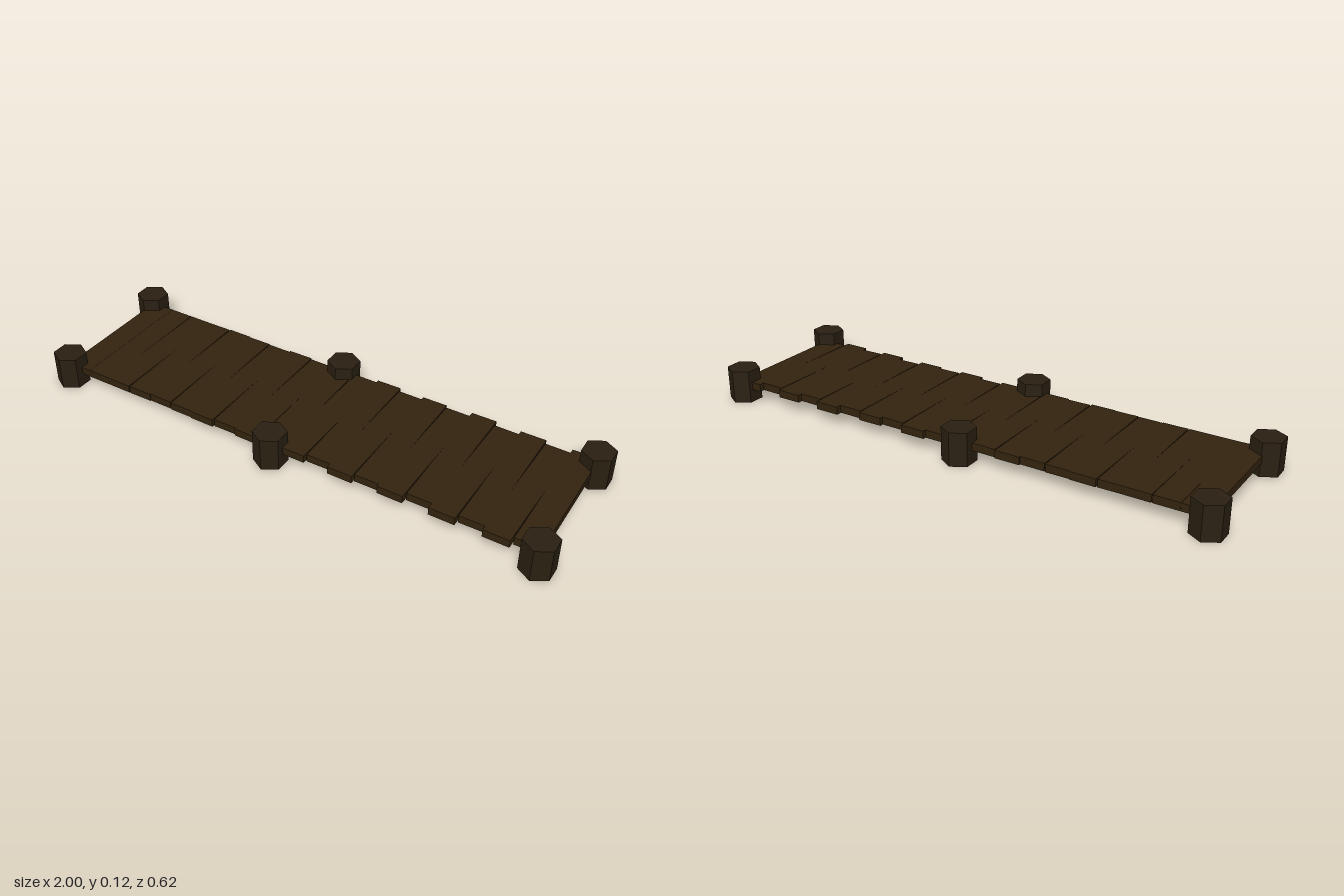
import * as THREE from 'three';

export function createModel() {
  const model = new THREE.Group();
  const plankWood = new THREE.MeshStandardMaterial({ color: 0x33230f, flatShading: true });
  const postWood = new THREE.MeshStandardMaterial({ color: 0x2a2012, flatShading: true });

  // Deck: planks laid side by side, each nudged along z and turned very slightly
  const pitch = 0.095;
  const shifts = [0, 0, 0, 0, -0.003, 0, 0.003, -0.004, 0.002, 0,
    0, -0.013, 0.005, -0.009, 0.003, -0.018, 0.006, -0.012, 0.007, -0.013];
  const plankGeometry = new THREE.BoxGeometry(0.0945, 0.029, 0.5);
  const deck = new THREE.Group();
  deck.name = 'deck';
  shifts.forEach((z, i) => {
    const plank = new THREE.Mesh(plankGeometry, plankWood);
    plank.name = 'plank';
    plank.position.set(-0.95 + pitch * (i + 0.5), 0.0635, z);
    if (i > 1) plank.rotation.y = i % 2 ? 0.007 : -0.007;
    deck.add(plank);
  });
  model.add(deck);

  // Six hexagonal posts along the two long edges
  const postGeometry = new THREE.CylinderGeometry(0.0615, 0.0615, 0.125, 6);
  for (const x of [-0.947, -0.045, 0.947]) {
    for (const z of [-0.247, 0.247]) {
      const post = new THREE.Mesh(postGeometry, postWood);
      post.name = 'post';
      post.position.set(x, 0.0625, z);
      model.add(post);
    }
  }
  return model;
}
